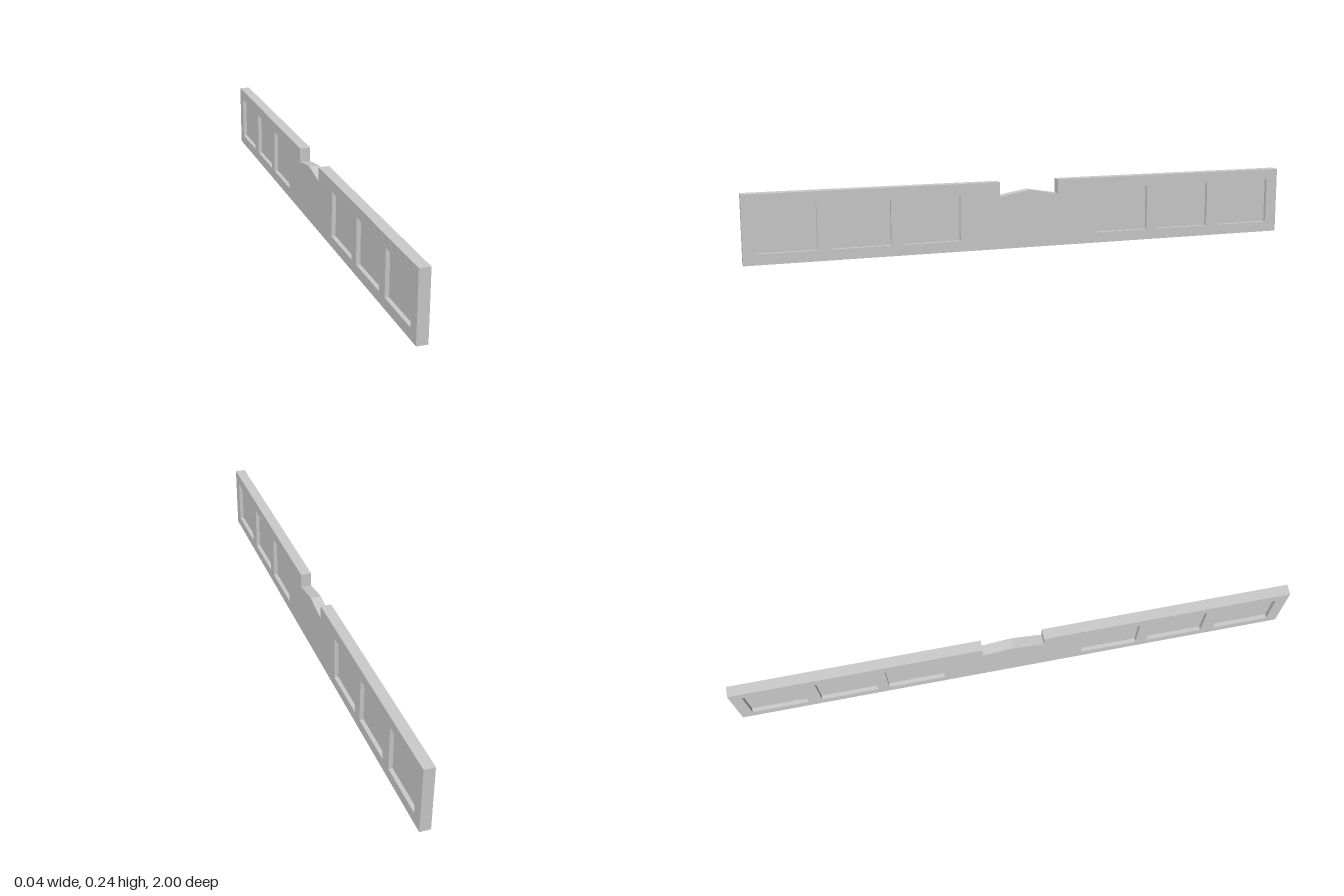
import * as THREE from 'three';

const THICK = 0.038, WEB = 0.009, TOP = 0.241;
const PANEL_W = 0.204, PANEL_Y0 = 0.038, PANEL_Y1 = 0.201;
const PANEL_Z = [0.356, 0.602, 0.855];

export function createModel() {
  const group = new THREE.Group();
  group.name = 'panelledBoard';
  const material = new THREE.MeshStandardMaterial({ color: 0xcccccc, flatShading: true });

  // Board outline in (z, y), with a peaked notch in the top edge
  const outline = new THREE.Shape([
    [-1, 0], [1, 0], [1, TOP], [0.109, TOP], [0.109, 0.189],
    [0, 0.208], [-0.109, 0.189], [-0.109, TOP], [-1, TOP],
  ].map(([z, y]) => new THREE.Vector2(z, y)));

  const centres = PANEL_Z.flatMap((z) => [z, -z]);
  for (const z of centres) {
    const a = z - PANEL_W / 2, b = z + PANEL_W / 2;
    outline.holes.push(new THREE.Path([
      new THREE.Vector2(a, PANEL_Y0), new THREE.Vector2(a, PANEL_Y1),
      new THREE.Vector2(b, PANEL_Y1), new THREE.Vector2(b, PANEL_Y0),
    ]));
  }

  const boardGeometry = new THREE.ExtrudeGeometry(outline, { depth: THICK, bevelEnabled: false });
  boardGeometry.translate(0, 0, -THICK / 2).rotateY(-Math.PI / 2);
  const board = new THREE.Mesh(boardGeometry, material);
  board.name = 'board';
  group.add(board);

  // Thin panels recessed from both sides
  const panelGeometry = new THREE.BoxGeometry(WEB, PANEL_Y1 - PANEL_Y0, PANEL_W);
  for (const z of centres) {
    const panel = new THREE.Mesh(panelGeometry, material);
    panel.name = 'recessedPanel';
    panel.position.set(0, (PANEL_Y0 + PANEL_Y1) / 2, z);
    group.add(panel);
  }
  return group;
}
